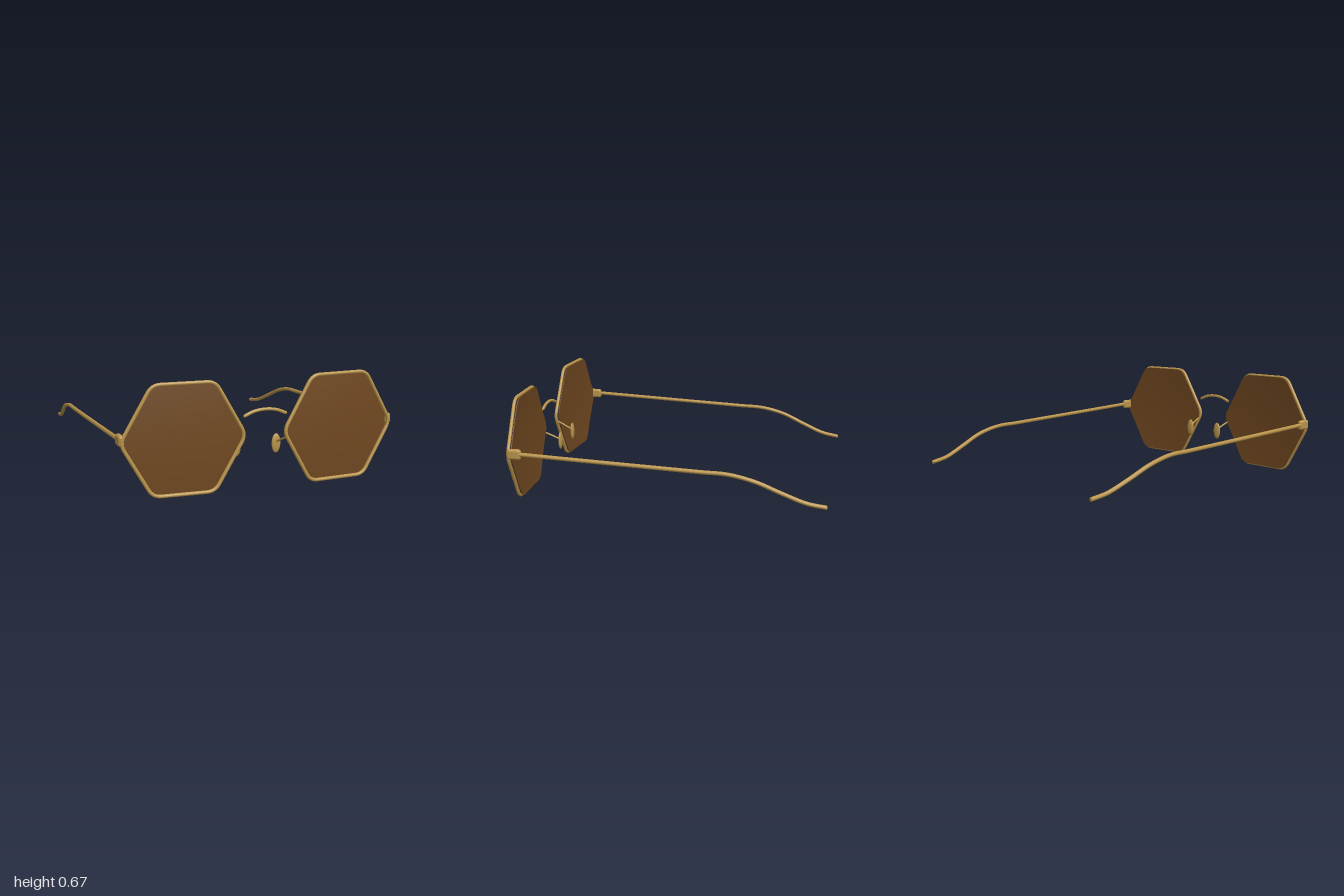
import * as THREE from 'three';
import { RoundedBoxGeometry } from 'three/addons/geometries/RoundedBoxGeometry.js';

const gold = new THREE.MeshStandardMaterial({ color: 0xb8934a });
gold.name = 'gold metal';
const brown = new THREE.MeshStandardMaterial({ color: 0x704820 });
brown.name = 'brown lens';

const v = (x, y, z) => new THREE.Vector3(x, y, z);

function mesh(name, geometry, material = gold) {
  const m = new THREE.Mesh(geometry, material);
  m.name = name;
  return m;
}

// Round wire along a smooth curve, with a rounded cap at each end
function wire(name, points, radius, segments) {
  const g = new THREE.Group();
  g.name = name;
  const curve = new THREE.CatmullRomCurve3(points);
  g.add(mesh(name + 'Wire', new THREE.TubeGeometry(curve, segments, radius, 12)));
  for (const p of [points[0], points[points.length - 1]]) {
    const cap = mesh(name + 'End', new THREE.SphereGeometry(radius, 12, 8));
    cap.position.copy(p);
    cap.scale.z = 0.3;
    g.add(cap);
  }
  return g;
}

// Hexagon with softened corners, counter-clockwise in the xy plane
function hexagonPath(radius, trim) {
  const path = new THREE.CurvePath();
  const corner = i => v(Math.cos(i * Math.PI / 3) * radius, Math.sin(i * Math.PI / 3) * radius, 0);
  const k = trim / radius;
  for (let i = 0; i < 6; i++) {
    const a = corner(i), b = corner(i + 1), c = corner(i + 2);
    path.add(new THREE.LineCurve3(a.clone().lerp(b, k), b.clone().lerp(a, k)));
    path.add(new THREE.QuadraticBezierCurve3(b.clone().lerp(a, k), b, b.clone().lerp(c, k)));
  }
  return path;
}

// Thin domed lens: rings of the outline run over the front, edge and back
function lensGeometry(path) {
  const outline = path.getSpacedPoints(96);
  const n = outline.length, rings = 8, stations = [];
  for (let i = 0; i <= rings; i++) stations.push([i / rings, 0]);
  stations.push([1, 0], [1, -0.007]);
  for (let i = rings; i >= 0; i--) stations.push([i / rings, -0.007]);
  const pos = [], index = [];
  stations.forEach(([t, dz], i) => {
    outline.forEach((p, j) => {
      const x = p.x * t, y = p.y * t;
      pos.push(x, y, dz - 0.11 * (x * x + y * y));
      if (i + 1 < stations.length && j + 1 < n) {
        const a = i * n + j, b = a + n;
        index.push(a, b, b + 1, a, b + 1, a + 1);
      }
    });
  });
  const g = new THREE.BufferGeometry();
  g.setAttribute('position', new THREE.Float32BufferAttribute(pos, 3));
  g.setIndex(index);
  g.computeVertexNormals();
  return g;
}

export function createModel() {
  const model = new THREE.Group();
  model.name = 'sunglasses';

  const path = hexagonPath(0.373, 0.05);
  const rimGeo = new THREE.TubeGeometry(path, 156, 0.011, 12, true);
  const lensGeo = lensGeometry(path);

  for (const s of [1, -1]) {
    const side = s > 0 ? 'left' : 'right';

    // Rim and lens, swept slightly back toward the temple
    const eye = new THREE.Group();
    eye.name = side + 'Eye';
    const lens = mesh(side + 'Lens', lensGeo, brown);
    lens.position.z = -0.002;
    eye.add(mesh(side + 'Rim', rimGeo), lens);
    eye.position.set(s * 0.495, 0.336, 0.968);
    eye.rotation.y = s * 0.052;
    model.add(eye);

    // Hinge block
    const hinge = mesh(side + 'Hinge', new RoundedBoxGeometry(0.036, 0.066, 0.09, 4, 0.016));
    hinge.position.set(s * 0.857, 0.35, 0.91);
    model.add(hinge);

    // Temple arm with a dropped, inward-curving tip
    model.add(wire(side + 'Temple', [
      v(s * 0.861, 0.353, 0.9), v(s * 0.853, 0.328, 0.3), v(s * 0.845, 0.306, -0.25),
      v(s * 0.842, 0.299, -0.42), v(s * 0.838, 0.262, -0.58), v(s * 0.822, 0.198, -0.73),
      v(s * 0.803, 0.138, -0.88), v(s * 0.792, 0.117, -0.996),
    ], 0.013, 80));

    // Nose pad on its thin stem
    model.add(wire(side + 'PadStem', [
      v(s * 0.146, 0.298, 0.978), v(s * 0.138, 0.272, 0.92), v(s * 0.13, 0.246, 0.865),
    ], 0.006, 12));
    const pad = mesh(side + 'NosePad', new THREE.SphereGeometry(1, 24, 16));
    pad.scale.set(0.029, 0.06, 0.012);
    pad.position.set(s * 0.13, 0.237, 0.866);
    model.add(pad);
  }

  // Arched bridge
  model.add(wire('bridge', [
    v(-0.13, 0.448, 0.988), v(-0.07, 0.471, 0.988), v(0, 0.479, 0.988),
    v(0.07, 0.471, 0.988), v(0.13, 0.448, 0.988),
  ], 0.01, 32));

  return model;
}
